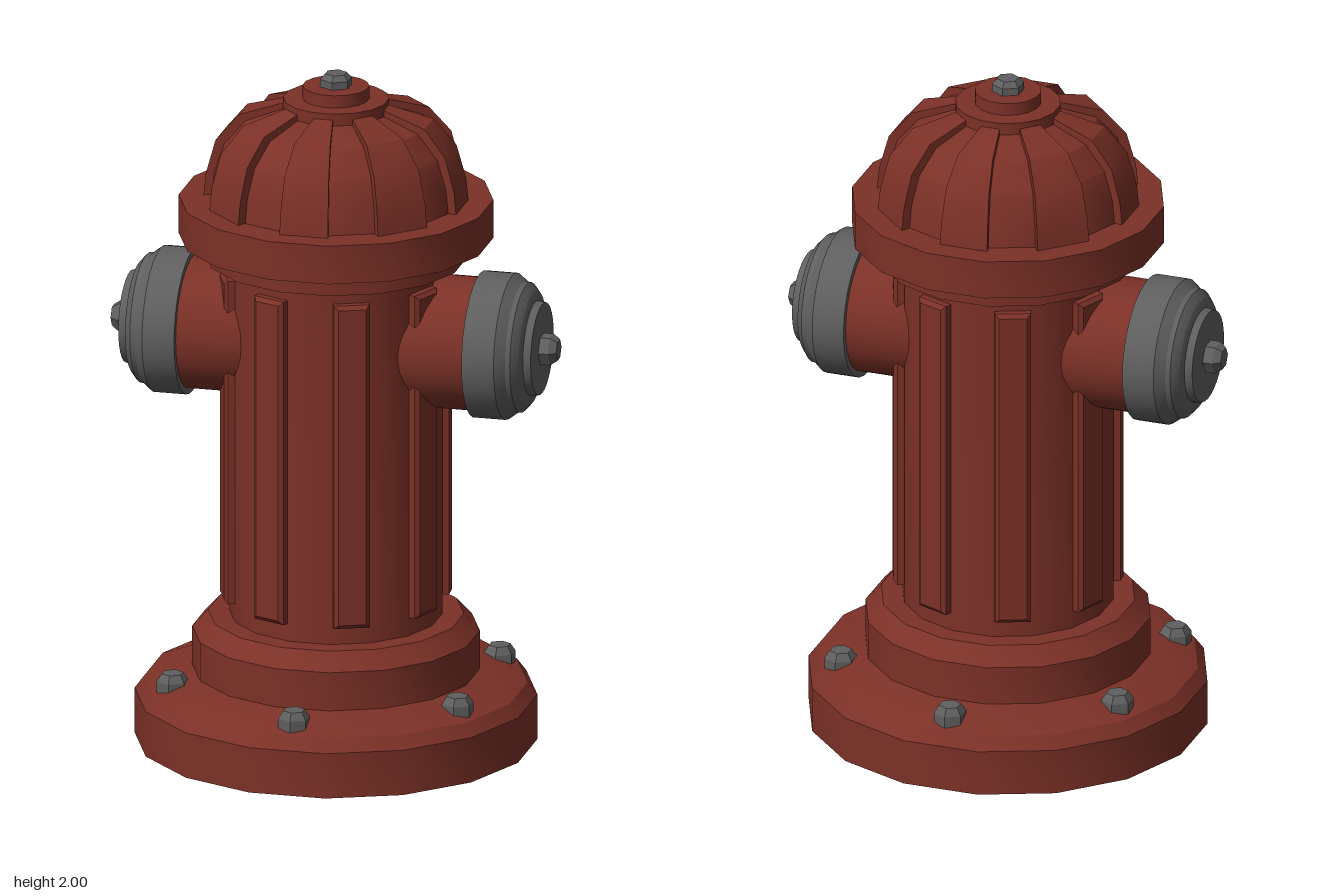
import * as THREE from 'three';
import { toCreasedNormals } from 'three/addons/utils/BufferGeometryUtils.js';

const SIDES = 16;
const red = new THREE.MeshStandardMaterial({ color: 0x7c3127 });
red.name = 'rust red';
const grey = new THREE.MeshStandardMaterial({ color: 0x5f5f5f });
grey.name = 'iron grey';

function add(parent, name, geometry, material) {
  const mesh = new THREE.Mesh(toCreasedNormals(geometry, 0.5), material);
  mesh.name = name;
  parent.add(mesh);
  return mesh;
}

// Turned solid; faceted ones present a flat face to the front
function turned(profile, sides, faceted) {
  const k = faceted ? 1 / Math.cos(Math.PI / sides) : 1;
  const points = profile.map(([r, y]) => new THREE.Vector2(r * k, y));
  return new THREE.LatheGeometry(points, sides, faceted ? Math.PI / sides : 0);
}

// Hexagonal nut with a chamfered top, standing on y = 0
function nut(height) {
  return turned([[0, 0], [0.047, 0], [0.047, height * 0.6], [0.032, height], [0, height]], 6, false);
}

// Dome rib: side profile pulled sideways, widening with the radius
function domeRib(outer, halfAngle) {
  const shape = new THREE.Shape();
  outer.forEach(([r, y], i) => (i ? shape.lineTo(r, y) : shape.moveTo(r, y)));
  shape.lineTo(0.12, 1.84);
  shape.lineTo(0.28, 1.62);
  const geometry = new THREE.ExtrudeGeometry(shape, { depth: 2, bevelEnabled: false });
  geometry.translate(0, 0, -1);
  const p = geometry.attributes.position;
  for (let i = 0; i < p.count; i++) p.setZ(i, p.getZ(i) * p.getX(i) * Math.tan(halfAngle));
  return geometry;
}

export function createModel() {
  const model = new THREE.Group();
  model.name = 'fireHydrant';

  // Foot, step and barrel
  add(model, 'base', turned([[0, 0], [0.567, 0], [0.567, 0.135], [0.54, 0.172], [0.445, 0.21], [0, 0.21]], SIDES, true), red);
  add(model, 'baseStep', turned([[0.405, 0.2], [0.405, 0.325], [0.36, 0.375], [0, 0.375]], SIDES, true), red);
  add(model, 'barrel', turned([[0.3, 0.37], [0.3, 1.46]], SIDES, true), red);

  // Raised bevelled panels around the barrel
  const panel = new THREE.Shape();
  panel.moveTo(-0.04, 0.44);
  panel.lineTo(0.04, 0.44);
  panel.lineTo(0.04, 1.39);
  panel.lineTo(-0.04, 1.39);
  for (let i = 0; i < 8; i++) {
    const geometry = new THREE.ExtrudeGeometry(panel, {
      depth: 0.03, bevelThickness: 0.01, bevelSize: 0.012, bevelSegments: 1,
    });
    geometry.translate(0, 0, 0.29);
    add(model, 'barrelPanel', geometry, red).rotation.y = Math.PI / 8 + (i * Math.PI) / 4;
  }

  // Collar and flange under the dome
  add(model, 'collar', turned([[0, 1.45], [0.37, 1.45], [0.37, 1.52]], SIDES, true), red);
  add(model, 'flange', turned([[0, 1.51], [0.443, 1.51], [0.443, 1.625], [0, 1.625]], SIDES, true), red);

  // Dome with eight raised ribs
  add(model, 'dome', turned([[0.35, 1.62], [0.342, 1.695], [0.315, 1.78], [0.255, 1.85], [0.14, 1.892], [0, 1.9]], SIDES, true), red);
  const ribProfile = [[0.374, 1.62], [0.367, 1.69], [0.34, 1.79], [0.275, 1.868], [0.148, 1.907]];
  for (let i = 0; i < 8; i++) {
    const halfAngle = i % 2 ? 0.215 : 0.19;
    add(model, 'domeRib', domeRib(ribProfile, halfAngle), red).rotation.y = (i * Math.PI) / 4;
  }

  // Crown discs and top nut
  add(model, 'crownDisc', turned([[0.149, 1.885], [0.149, 1.925], [0, 1.925]], SIDES, true), red);
  add(model, 'crownBoss', turned([[0.094, 1.92], [0.094, 1.962], [0, 1.962]], SIDES, true), red);
  add(model, 'topNut', nut(0.04), grey).position.y = 1.96;

  // Six foot bolts
  for (let i = 0; i < 6; i++) {
    const a = (i * Math.PI) / 3;
    add(model, 'footBolt', nut(0.055), grey).position.set(0.487 * Math.sin(a), 0.178, 0.487 * Math.cos(a));
  }

  // Side outlets, each with a stepped cap and a nut; built along +y, then laid outwards
  for (const side of [1, -1]) {
    const outlet = new THREE.Group();
    outlet.name = side > 0 ? 'leftOutlet' : 'rightOutlet';
    add(outlet, 'outletPipe', turned([[0.193, 0.2], [0.193, 0.44]], 32, false), red);
    add(outlet, 'outletCap', turned([
      [0, 0.425], [0.212, 0.425], [0.212, 0.52], [0.19, 0.548], [0.188, 0.562],
      [0.165, 0.582], [0.138, 0.588], [0.134, 0.61], [0, 0.61],
    ], 32, false), grey);
    add(outlet, 'capNut', nut(0.052), grey).position.y = 0.607;
    outlet.position.y = 1.217;
    outlet.rotation.z = (-side * Math.PI) / 2;
    model.add(outlet);
  }
  return model;
}
